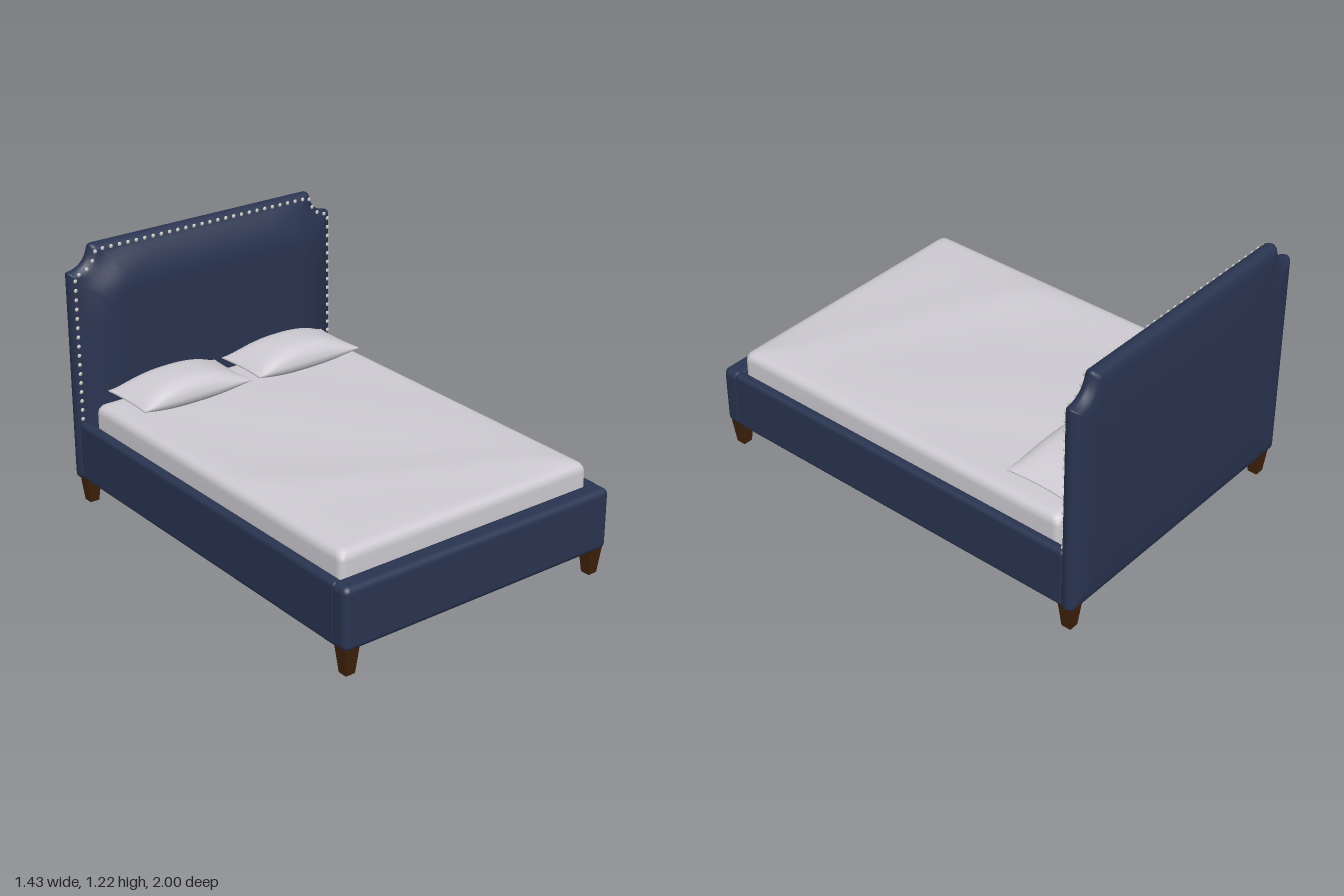
import * as THREE from 'three';
import { mergeGeometries } from 'three/addons/utils/BufferGeometryUtils.js';
import { RoundedBoxGeometry } from 'three/addons/geometries/RoundedBoxGeometry.js';

const material = (name, color) => {
  const m = new THREE.MeshStandardMaterial({ color });
  m.name = name;
  return m;
};

// Sample every curve of a shape evenly, keeping its corners
const outlineOf = (shape, n) => shape.curves.flatMap((c) => c.getPoints(n).slice(0, -1));

// Stack inset copies of an outline, centred on the origin, along z
function loft(outline, hx, hy, profile, wave) {
  const pos = [], index = [], n = outline.length;
  profile.forEach(([inset, depth], j) => {
    const sx = Math.max(0, 1 - inset / hx), sy = Math.max(0, 1 - inset / hy);
    outline.forEach((p, i) => {
      const x = p.x * sx, y = p.y * sy;
      pos.push(x, y, depth + wave(x, y, inset, depth));
      if (j === profile.length - 1) return;
      const a = j * n + i, b = j * n + ((i + 1) % n);
      index.push(a, b, b + n, a, b + n, a + n);
    });
  });
  const g = new THREE.BufferGeometry();
  g.setAttribute('position', new THREE.Float32BufferAttribute(pos, 3));
  g.setIndex(index);
  g.computeVertexNormals();
  return g;
}

// Upholstered headboard with scooped corners and a padded front
function headboardGeometry() {
  const hx = 0.713, hy = 0.55, cy = 0.67, r = 0.02;
  const s = new THREE.Shape();
  s.moveTo(-hx + r, -hy);
  s.lineTo(hx - r, -hy);
  s.quadraticCurveTo(hx, -hy, hx, -hy + r);
  s.lineTo(hx, 0.432);
  s.quadraticCurveTo(hx, 0.44, hx - 0.01, 0.44);
  s.quadraticCurveTo(0.62, 0.45, 0.6, 0.535);
  s.quadraticCurveTo(0.597, hy, 0.58, hy);
  s.lineTo(-0.58, hy);
  s.quadraticCurveTo(-0.597, hy, -0.6, 0.535);
  s.quadraticCurveTo(-0.62, 0.45, -hx + 0.01, 0.44);
  s.quadraticCurveTo(-hx, 0.44, -hx, 0.432);
  s.lineTo(-hx, -hy + r);
  s.quadraticCurveTo(-hx, -hy, -hx + r, -hy);
  const profile = [
    [hy, -1], [0.3, -0.999], [0.15, -0.996], [0.06, -0.992], [0.025, -0.987], [0.008, -0.977], [0, -0.96],
    [0, -0.945], [0.006, -0.928], [0.016, -0.919], [0.03, -0.915],
  ];
  for (let d = 0.045; d < 0.3; d += 0.02) profile.push([d, -0.915]);
  profile.push([0.35, -0.915], [0.45, -0.915], [hy, -0.915]);
  // Padding swells smoothly away from every edge and scoop
  const swell = (t, reach) => 1 - (1 - THREE.MathUtils.clamp((t - 0.03) / reach, 0, 1)) ** 2;
  const pad = (x, y, inset, depth) => {
    if (depth < -0.916) return 0;
    const dx = hx - Math.abs(x), dy = hy - y;
    return 0.065 * swell(dx, 0.2) * swell(dy, 0.18) * swell(hy + y, 0.1) * swell(Math.hypot(dx, dy) - 0.1, 0.2);
  };
  return loft(outlineOf(s, 12), hx, hy, profile, pad).translate(0, cy, 0);
}

// Mattress with soft edges and a faintly rumpled top
function mattressGeometry() {
  const hx = 0.655, hy = 0.887, r = 0.035;
  const s = new THREE.Shape();
  s.moveTo(-hx + r, -hy);
  s.lineTo(hx - r, -hy);
  s.quadraticCurveTo(hx, -hy, hx, -hy + r);
  s.lineTo(hx, hy - r);
  s.quadraticCurveTo(hx, hy, hx - r, hy);
  s.lineTo(-hx + r, hy);
  s.quadraticCurveTo(-hx, hy, -hx, hy - r);
  s.lineTo(-hx, -hy + r);
  s.quadraticCurveTo(-hx, -hy, -hx + r, -hy);
  const profile = [
    [hx, 0.3], [0.03, 0.3], [0.006, 0.306], [0, 0.32], [0, 0.46],
    [0.003, 0.478], [0.012, 0.493], [0.028, 0.501], [0.05, 0.504],
  ];
  for (let d = 0.1; d < hx; d += 0.05) profile.push([d, 0.505]);
  profile.push([hx, 0.505]);
  const wave = (x, y, inset, depth) => depth < 0.5 || inset < 0.05 ? 0
    : Math.min(1, inset / 0.15) * (0.003 * Math.sin(6 * x + 4 * y) + 0.01 * Math.exp(-((y + 0.5 + 0.5 * x) ** 2) / 0.02));
  return loft(outlineOf(s, 20), hx, hy, profile, wave).rotateX(-Math.PI / 2).translate(0, 0, 0.022);
}

// Pillow: a box squeezed to a thin rim, with pointed corners
function pillowGeometry() {
  const g = new THREE.BoxGeometry(2, 2, 2, 28, 1, 20), p = g.attributes.position;
  for (let i = 0; i < p.count; i++) {
    const u = Math.sin(p.getX(i) * Math.PI / 2), v = Math.sin(p.getZ(i) * Math.PI / 2);
    const puff = Math.max(0, 1 - Math.abs(u) ** 2.5) * Math.max(0, 1 - v ** 4) ** 0.6;
    const y = p.getY(i) > 0 ? 0.003 + 0.078 * puff : -0.003 - 0.05 * puff ** 0.8;
    p.setXYZ(i, 0.287 * u * (1 - 0.03 * (1 - v * v)), y, 0.147 * v * (1 - 0.03 * (1 - u * u)));
  }
  g.computeVertexNormals();
  return g;
}

// Flat nailheads follow the headboard edge, mirrored left and right
function nailGeometry() {
  const path = new THREE.Path();
  path.moveTo(0.692, 0.42);
  path.lineTo(0.692, 1.1);
  path.quadraticCurveTo(0.605, 1.105, 0.583, 1.198);
  path.lineTo(0.0215, 1.199);
  const nails = [];
  for (const p of path.getSpacedPoints(32)) {
    for (const side of [-1, 1]) {
      nails.push(new THREE.SphereGeometry(0.0095, 10, 8).scale(1, 1, 0.5).translate(side * p.x, p.y, -0.915));
    }
  }
  return mergeGeometries(nails);
}

export function createModel() {
  const group = new THREE.Group();
  const fabric = material('navy fabric', 0x293450);
  const linen = material('pale linen', 0xcdcbd1);
  const wood = material('brown wood', 0x3f210b);
  const slatWood = material('dark slat wood', 0x2a1708);
  const metal = material('nickel', 0xcbc8c3);

  const add = (name, geometry, mat, x = 0, y = 0, z = 0) => {
    const mesh = new THREE.Mesh(geometry, mat);
    mesh.name = name;
    mesh.position.set(x, y, z);
    group.add(mesh);
  };

  // Upholstered frame
  add('headboard', headboardGeometry(), fabric);
  add('nailheads', nailGeometry(), metal);
  add('footboard', new RoundedBoxGeometry(1.41, 0.285, 0.098, 5, 0.03), fabric, 0, 0.26, 0.951);

  // Bedding
  add('mattress', mattressGeometry(), linen);

  // Mirrored rails, pillows and tapered legs
  const rail = new RoundedBoxGeometry(0.05, 0.28, 1.86, 4, 0.02);
  const pillow = pillowGeometry();
  const leg = new THREE.CylinderGeometry(0.05, 0.032, 0.125, 4).toNonIndexed().rotateY(Math.PI / 4);
  leg.computeVertexNormals();
  for (const side of [-1, 1]) {
    const label = side > 0 ? 'left' : 'right';
    add(`${label}Rail`, rail, fabric, side * 0.679, 0.26, 0);
    add(`${label}Pillow`, pillow, linen, side * 0.308, 0.556, -0.697);
    add(`${label}FrontLeg`, leg, wood, side * 0.657, 0.0625, 0.95);
    add(`${label}BackLeg`, leg, wood, side * 0.657, 0.0625, -0.932);
  }

  // Slatted base with a centre beam
  add('centreBeam', new THREE.BoxGeometry(0.075, 0.012, 1.78), slatWood, 0, 0.274, 0);
  const slat = new THREE.BoxGeometry(1.32, 0.014, 0.075);
  for (let i = 0; i < 10; i++) add('slat', slat, slatWood, 0, 0.287, 0.8 - i * 0.178);

  return group;
}
